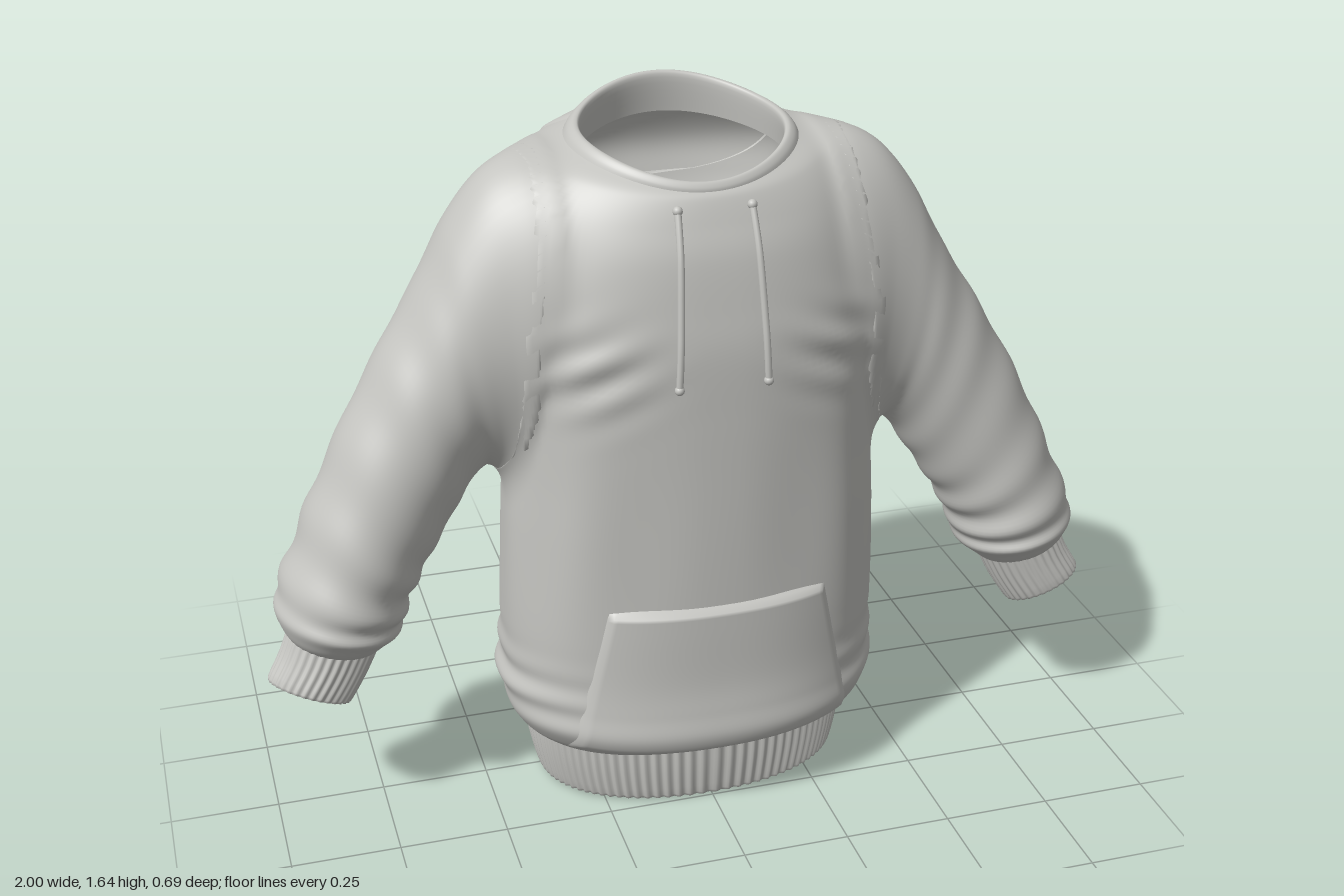
import * as THREE from 'three';

const fabric = new THREE.MeshStandardMaterial({ color: 0xc4c4c0, side: THREE.DoubleSide });
fabric.name = 'grey fabric';
const TAU = Math.PI * 2;
const spow = (c, n) => Math.sign(c) * Math.pow(Math.abs(c), 2 / n);
const bell = (x, c, w) => Math.exp(-(((x - c) / w) ** 2));
const { clamp, smoothstep } = THREE.MathUtils;

// Smooth interpolation of a table of rows at position t
function sample(rows, t) {
  const last = rows.length - 1;
  const i = clamp(Math.floor(t), 0, last - 1), f = t - i;
  const [p, a, b, q] = [-1, 0, 1, 2].map(k => rows[clamp(i + k, 0, last)]);
  return a.map((v, k) => v + 0.5 * f * (b[k] - p[k] +
    f * (2 * p[k] - 5 * v + 4 * b[k] - q[k] + f * (3 * (v - b[k]) + q[k] - p[k]))));
}
// Surface from fn(u, v), u and v in 0..1; closed joins v = 1 to v = 0; null points leave a gap
function surface(name, fn, nu, nv, closed = true) {
  const pts = [], index = [], cols = closed ? nv : nv + 1;
  for (let i = 0; i <= nu; i++)
    for (let j = 0; j < cols; j++) pts.push(fn(i / nu, j / nv));
  for (let i = 0; i < nu; i++)
    for (let j = 0; j < nv; j++) {
      const a = i * cols + j, b = i * cols + (j + 1) % cols, c = a + cols, d = b + cols;
      if ([a, b, c, d].every(k => pts[k])) index.push(a, c, b, b, c, d);
    }
  const geo = new THREE.BufferGeometry();
  geo.setAttribute('position',
    new THREE.Float32BufferAttribute(pts.flatMap(p => p ?? [0, 1, 0]), 3));
  geo.setIndex(index);
  geo.computeVertexNormals();
  const mesh = new THREE.Mesh(geo, fabric);
  mesh.name = name;
  return mesh;
}
// Ring: front, side and back height, half width, front z, back z, squareness
function ringY([yF, yS, yB], s) {
  return yS + (s + s ** 3) * (yF - yB) / 4 + s * s * ((yF + yB) / 2 - yS);
}
function ringPoint(row, ang, grow = 0) {
  const [, , , a, zf, zb, n] = row, s = spow(Math.sin(ang), n);
  return [(a + grow) * spow(Math.cos(ang), n), ringY(row, s),
    (zf + zb) / 2 + ((zf - zb) / 2 + grow) * s];
}
const flat = (y, ...rest) => [y, y, y, ...rest];
const BODY = [
  flat(0.135, 0.395, 0.265, -0.275, 2.3), flat(0.17, 0.425, 0.305, -0.3, 2.3),
  flat(0.22, 0.445, 0.325, -0.315, 2.4), flat(0.28, 0.453, 0.318, -0.318, 2.4),
  flat(0.36, 0.445, 0.31, -0.295, 2.5), flat(0.5, 0.443, 0.31, -0.28, 2.5),
  flat(0.7, 0.435, 0.31, -0.275, 2.5), flat(0.85, 0.425, 0.31, -0.27, 2.5),
  flat(1.0, 0.42, 0.31, -0.27, 2.5), flat(1.15, 0.42, 0.308, -0.268, 2.5),
  flat(1.25, 0.415, 0.295, -0.283, 2.5), flat(1.36, 0.405, 0.275, -0.322, 2.4),
  [1.43, 1.465, 1.44, 0.38, 0.25, -0.335, 2.3], [1.48, 1.53, 1.53, 0.33, 0.228, -0.298, 2.1],
  [1.495, 1.556, 1.595, 0.255, 0.213, -0.248, 2],
];
const COLLAR = [
  [1.488, 1.55, 1.59, 0.262, 0.216, -0.252, 2], [1.5, 1.568, 1.615, 0.25, 0.215, -0.246, 2],
  [1.512, 1.577, 1.634, 0.234, 0.206, -0.232, 2], [1.502, 1.565, 1.62, 0.224, 0.198, -0.22, 2],
  [1.44, 1.5, 1.54, 0.23, 0.203, -0.228, 2],
];
const HEM = [
  flat(0.15, 0.392, 0.262, -0.272, 2.2), flat(0.08, 0.384, 0.258, -0.258, 2.2),
  flat(0.006, 0.367, 0.249, -0.237, 2.2), flat(0, 0.358, 0.241, -0.229, 2.2),
  flat(0.006, 0.35, 0.232, -0.22, 2.2), flat(0.15, 0.376, 0.246, -0.256, 2.2),
];
// Arm section: outer x, y, inner x, y, front z, back z
const SLEEVE = [
  [0.31, 1.52, 0.37, 1.0, 0.155, -0.19], [0.38, 1.528, 0.39, 0.93, 0.175, -0.19],
  [0.455, 1.497, 0.415, 0.89, 0.178, -0.187], [0.53, 1.41, 0.445, 0.87, 0.18, -0.187],
  [0.6, 1.28, 0.485, 0.85, 0.18, -0.183], [0.7, 1.115, 0.535, 0.765, 0.18, -0.165],
  [0.8, 0.94, 0.59, 0.675, 0.186, -0.145], [0.885, 0.76, 0.64, 0.595, 0.198, -0.145],
  [0.95, 0.61, 0.672, 0.525, 0.208, -0.143], [0.968, 0.535, 0.69, 0.475, 0.2, -0.125],
  [0.945, 0.48, 0.745, 0.43, 0.152, -0.048],
];
const CUFF = [
  [0.937, 0.51, 0.735, 0.455, 0.15, -0.045], [0.965, 0.44, 0.775, 0.375, 0.155, -0.037],
  [0.997, 0.383, 0.818, 0.308, 0.16, -0.022], [0.99, 0.375, 0.826, 0.306, 0.152, -0.014],
  [0.978, 0.385, 0.832, 0.32, 0.145, -0.007], [0.935, 0.48, 0.755, 0.43, 0.138, -0.033],
];
// Largest t below hi for which the test still holds
function search(hi, test) {
  let lo = 0;
  for (let i = 0; i < 22; i++) {
    const mid = (lo + hi) / 2;
    if (test(mid)) lo = mid; else hi = mid;
  }
  return lo;
}
// Approximate distance to the torso and to the left sleeve
const outside = (r, level) => r * (1 - 1 / Math.max(level, 0.05));
function torsoDistance([x, y, z]) {
  const t = search(14, k => {
    const row = sample(BODY, k), [, , , , zf, zb] = row;
    return ringY(row, clamp((2 * z - zf - zb) / (zf - zb), -1, 1)) < y;
  });
  const [, , , a, zf, zb, n] = sample(BODY, t), dz = z - (zf + zb) / 2;
  const level = (Math.abs(x / a) ** n + Math.abs(2 * dz / (zf - zb)) ** n) ** (1 / n);
  return outside(Math.hypot(x, dz), level);
}
function sleeveDistance([x, y, z]) {
  const local = t => {
    const [ox, oy, ix, iy, zf, zb] = sample(SLEEVE, t);
    const dx = ox - ix, dy = oy - iy, len = Math.hypot(dx, dy);
    const px = x - (ox + ix) / 2, py = y - (oy + iy) / 2;
    return [(px * dy - py * dx) / len, (px * dx + py * dy) / len, len, z - (zf + zb) / 2, zf - zb];
  };
  const [along, h, len, w, wide] = local(search(7, t => local(t)[0] > 0));
  return outside(Math.hypot(h, w), 2 * Math.hypot(h / len, w / wide)) + Math.abs(along);
}
// Move a point onto the rounded join of torso and sleeve; null deep inside the other part
function blend([x, ...yz], self, other) {
  const p = [Math.abs(x), ...yz], K = 0.14, d = other(p), e = 0.002;
  if (d < -0.07) return null;
  if (d > K) return [x, ...yz];
  const own = self(p);
  const field = r => {
    const a = self(r) - own, b = other(r);
    return Math.min(a, b) - Math.max(0, K - Math.abs(a - b)) ** 2 / (4 * K);
  };
  let q = p;
  for (let i = 0; i < 4; i++) {
    const f = field(q);
    const g = q.map((_, k) => (field(q.map((v, m) => v + (m === k ? e : 0))) - f) / e);
    const step = clamp(f, -0.04, 0.04) / Math.max(0.3, g[0] ** 2 + g[1] ** 2 + g[2] ** 2);
    q = q.map((v, k) => v - step * g[k]);
  }
  const w = Math.min(1, (d + 0.07) / 0.05) * smoothstep(p[0], 0.25, 0.32);
  return p.map((v, k) => (v + w * (q[k] - v)) * (k === 0 ? Math.sign(x) : 1));
}
// Torso with soft folds at the waist and chest
function bodyPoint(t, ang, grow = 0) {
  const row = sample(BODY, t), [x, y] = ringPoint(row, ang);
  const waist = 0.007 * Math.sin(y * 75 + 2 * Math.sin(ang * 2)) * bell(y, 0.29, 0.08) *
    (1 - 0.8 * Math.max(0, Math.sin(ang)));
  const drape = 0.004 * Math.sin(ang * 9) * bell(y, 0.7, 0.3);
  const chest = 0.007 * Math.sin((y + 0.5 * Math.abs(x)) * 60) *
    bell(y, 1.12, 0.09) * bell(Math.abs(x), 0.27, 0.1);
  return blend(ringPoint(row, ang, waist + drape + chest + grow), torsoDistance, sleeveDistance);
}
// Depth of the torso front at x, y
function frontZ(x, y) {
  const [, , , a, zf, zb, n] = sample(BODY, search(14, t => sample(BODY, t)[0] < y));
  const k = Math.max(0, 1 - Math.pow(Math.abs(x) / a, n));
  return (zf + zb) / 2 + (zf - zb) / 2 * Math.pow(k, 1 / n);
}
function armPoint([ox, oy, ix, iy, zf, zb], ang, scale, tilt = 0) {
  const c = Math.cos(ang) * scale / 2, s = Math.sin(ang) * scale / 2;
  return [(ox + ix) / 2 + (ox - ix) * c - 0.45 * tilt * s,
    (oy + iy) / 2 + (oy - iy) * c + 0.9 * tilt * s, (zf + zb) / 2 + (zf - zb) * s];
}
// Sleeve with gathers growing toward the wrist
function sleevePoint(t, ang) {
  const amp = 0.045 * bell(t, 7.8, 1.5) + 0.015 * bell(t, 4.8, 1);
  const fold = amp * Math.sin(t * 6.5 + 1.1 * Math.sin(ang + 0.6)) *
    (0.75 + 0.25 * Math.cos(ang * 2 + t));
  return blend(armPoint(sample(SLEEVE, t), ang, 1 + fold), sleeveDistance, torsoDistance);
}
export function createModel() {
  const model = new THREE.Group();
  model.name = 'sweatshirt';
  model.add(surface('torso', (u, v) => bodyPoint(u * 14, v * TAU), 140, 120));
  model.add(surface('collar', (u, v) => ringPoint(sample(COLLAR, u * 4), v * TAU), 20, 96));
  model.add(surface('hemBand', (u, v) => // ribbed
    ringPoint(sample(HEM, u * 5), v * TAU, 0.003 * Math.sin(v * TAU * 90)), 15, 540));
  // Flattened hood panel on the upper back
  model.add(surface('hoodPanel', (u, v) => {
    const w = 2 * v - 1, edge = Math.min(1, (1 - Math.abs(w)) * 10, (1 - u) * 12);
    const ang = -Math.PI / 2 + w * 1.05 * Math.sqrt(1 - u * u);
    return bodyPoint(14 - u * 3, ang, -0.003 + 0.011 * edge);
  }, 40, 60, false));
  // Front pocket, its rim tucked into the torso
  model.add(surface('pocket', (u, v) => {
    const w = 2 * v - 1, y = 0.555 - u * 0.42, x = w * (0.26 + 0.095 * u);
    const edge = Math.min(1, (1 - Math.abs(w)) * 18, u * 24, (1 - u) * 8);
    return [x, y, frontZ(x, y) - 0.01 + (0.033 - 0.012 * w * w) * edge];
  }, 48, 60, false));
  for (const side of [1, -1]) {
    const label = side > 0 ? 'left' : 'right';
    const mirror = p => p && [side * p[0], p[1], p[2]];
    model.add(surface(label + 'Sleeve', (u, v) => mirror(sleevePoint(u * 10, v * TAU)), 100, 56));
    model.add(surface(label + 'Cuff', (u, v) => mirror(armPoint(sample(CUFF, u * 5), v * TAU,
      1 + 0.022 * Math.sin(v * TAU * 32), 0.045)), 15, 192));
    // Drawstring with knotted ends
    const path = Array.from({ length: 9 }, (_, i) => {
      const x = side * (0.082 + 0.018 * i / 8), y = 1.465 - 0.375 * i / 8;
      return new THREE.Vector3(x, y, frontZ(x, y) + 0.008);
    });
    const curve = new THREE.CatmullRomCurve3(path);
    const cord = new THREE.Mesh(new THREE.TubeGeometry(curve, 32, 0.008, 10), fabric);
    cord.name = label + 'Drawstring';
    for (const p of [path[0], path[8]]) {
      const knot = new THREE.Mesh(new THREE.SphereGeometry(0.011, 14, 10), fabric);
      knot.position.copy(p);
      knot.name = label + 'DrawstringKnot';
      cord.add(knot);
    }
    model.add(cord);
  }
  return model;
}
